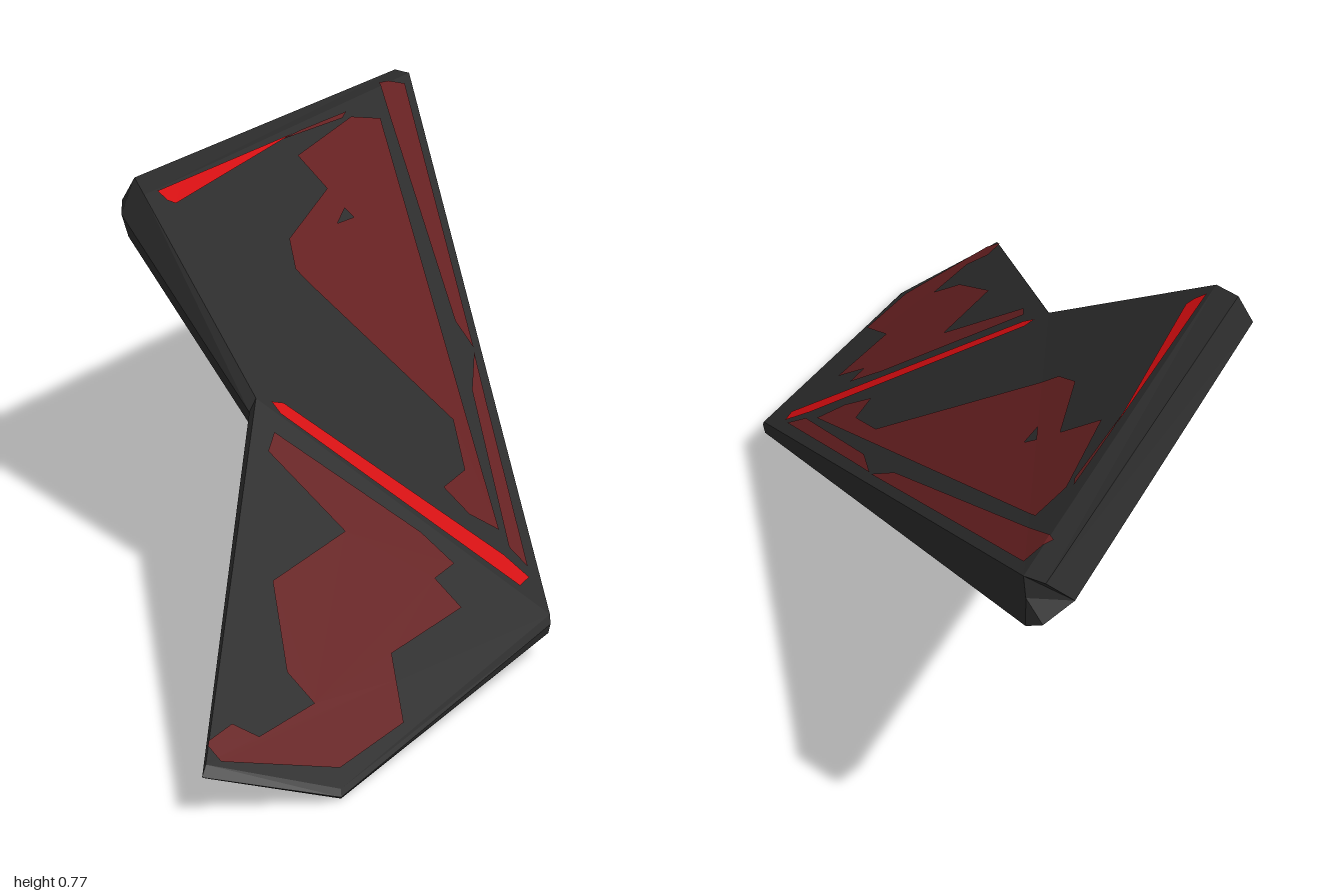
import * as THREE from 'three';

const mat = (name, color) => {
  const m = new THREE.MeshStandardMaterial({ color });
  m.name = name;
  return m;
};

// Corner columns around the outline: top, middle and bottom point of each
const corners = [
  [[-0.715, 0.765, -1], [-0.745, 0.71, -0.95], [-0.71, 0.675, -1]],
  [[-0.54, 0.765, 0.04], [-0.57, 0.71, 0.05], [-0.53, 0.665, 0.07]],
  [[-0.47, 0.75, 0.08], [-0.52, 0.70, 0.10], [-0.50, 0.655, 0.10]],
  [[0.01, 0.455, 0.24], [0.01, 0.43, 0.26], [0.01, 0.39, 0.25]],
  [[0.59, 0.10, 0.98], [0.60, 0.085, 1], [0.59, 0.072, 0.98]],
  [[0.73, 0.02, 0.77], [0.74, 0.01, 0.78], [0.73, 0, 0.77]],
  [[0.62, 0.09, 0.03], [0.63, 0.075, 0.04], [0.625, 0.054, 0.04]],
  [[-0.67, 0.765, -1], [-0.675, 0.72, -1], [-0.675, 0.66, -1]],
];
// Facets shared by the upper and lower skin
const facets = [[0, 1, 2], [0, 2, 7], [7, 2, 3], [7, 3, 6], [6, 3, 4], [6, 4, 5]];

// Painted patches as [x, z] outlines
const patches = {
  rearPanel: [[-0.56, -0.775], [0.43, -0.035], [0.38, 0], [0.31, 0], [0.29, -0.09], [0.18, -0.18],
    [-0.24, -0.145], [-0.31, -0.2], [-0.33, -0.43], [-0.5, -0.43], [-0.575, -0.69]],
  trailingStripe: [[-0.64, -0.95], [0.04, -0.41], [-0.03, -0.43], [-0.66, -0.88]],
  trailingStripeEnd: [[0.05, -0.4], [0.16, -0.31], [0.52, -0.02], [0.47, -0.02], [0.13, -0.3]],
  sideStripe: [[-0.59, -0.69], [-0.575, -0.66], [-0.545, -0.43], [-0.56, -0.5]],
  frontPanel: [[0.09, 0.27], [0.38, 0.15], [0.46, 0.14], [0.47, 0.21], [0.54, 0.21], [0.56, 0.44],
    [0.68, 0.54], [0.7, 0.74], [0.6, 0.95], [0.56, 0.95], [0.55, 0.87], [0.59, 0.84], [0.58, 0.68],
    [0.51, 0.68], [0.35, 0.55], [0.32, 0.31], [0.12, 0.32]],
};
const glowPatches = {
  sideGlow: [[-0.555, -0.47], [-0.435, 0.02], [-0.445, 0.035], [-0.47, 0.04], [-0.485, -0.05]],
  foldGlow: [[0.04, 0.19], [0.03, 0.215], [0.06, 0.22], [0.55, 0.04], [0.54, 0], [0.48, 0.01]],
};

function meshFrom(name, positions, material) {
  const g = new THREE.BufferGeometry();
  g.setAttribute('position', new THREE.Float32BufferAttribute(positions, 3));
  g.computeVertexNormals();
  const mesh = new THREE.Mesh(g, material);
  mesh.name = name;
  return mesh;
}

function bodyMesh(material) {
  const pos = [];
  const tri = (a, b, c) => pos.push(...a, ...b, ...c);
  for (const [a, b, c] of facets) {
    tri(corners[a][0], corners[b][0], corners[c][0]);
    tri(corners[a][2], corners[c][2], corners[b][2]);
  }
  // Bevelled rim: upper and lower band
  corners.forEach((p, i) => {
    const q = corners[(i + 1) % corners.length];
    for (const k of [0, 1]) {
      tri(p[k], p[k + 1], q[k + 1]);
      tri(p[k], q[k + 1], q[k]);
    }
  });
  return meshFrom('wingBody', pos, material);
}

// Cut an [x, z] outline to one convex facet
function clip(poly, facet) {
  let out = poly;
  for (let e = 0; e < 3; e++) {
    const a = facet[e], b = facet[(e + 1) % 3];
    const side = (p) => (b[2] - a[2]) * (p[0] - a[0]) - (b[0] - a[0]) * (p[1] - a[2]);
    const next = [];
    out.forEach((p, i) => {
      const q = out[(i + 1) % out.length], sp = side(p), sq = side(q);
      if (sp >= 0) next.push(p);
      if (sp * sq < 0) {
        const t = sp / (sp - sq);
        next.push([p[0] + (q[0] - p[0]) * t, p[1] + (q[1] - p[1]) * t]);
      }
    });
    out = next;
  }
  return out;
}

// Lay a painted patch over the skin (level 0 = top, 2 = bottom)
function patchMesh(name, outline, level, material) {
  const pos = [];
  const up = level === 0 ? 1 : -1;
  for (const f of facets) {
    const pts = f.map((i) => corners[i][level]);
    const cut = clip(outline, pts);
    if (cut.length < 3) continue;
    const [a, b, c] = pts.map((p) => new THREE.Vector3(...p));
    const n = b.clone().sub(a).cross(c.clone().sub(a));
    const lift = ([x, z]) => [x, a.y - (n.x * (x - a.x) + n.z * (z - a.z)) / n.y + up * 0.004, z];
    const flat = cut.map(([x, z]) => new THREE.Vector2(x, z));
    for (const t of THREE.ShapeUtils.triangulateShape(flat, [])) {
      const [p, q, r] = t.map((i) => [flat[i].x, flat[i].y]);
      const s = (q[1] - p[1]) * (r[0] - p[0]) - (q[0] - p[0]) * (r[1] - p[1]);
      const order = s * up > 0 ? [p, q, r] : [p, r, q];
      order.forEach((v) => pos.push(...lift(v)));
    }
  }
  return meshFrom(name, pos, material);
}

export function createModel() {
  const black = mat('charcoal', 0x2b2b2b);
  const darkRed = mat('dark red', 0x641f20);
  const brightRed = mat('bright red', 0xd20c0f);

  const group = new THREE.Group();
  group.name = 'wing';
  group.add(bodyMesh(black));
  for (const [level, label] of [[0, 'Top'], [2, 'Bottom']]) {
    for (const [name, outline] of Object.entries(patches))
      group.add(patchMesh(name + label, outline, level, darkRed));
    for (const [name, outline] of Object.entries(glowPatches))
      group.add(patchMesh(name + label, outline, level, brightRed));
  }
  return group;
}
